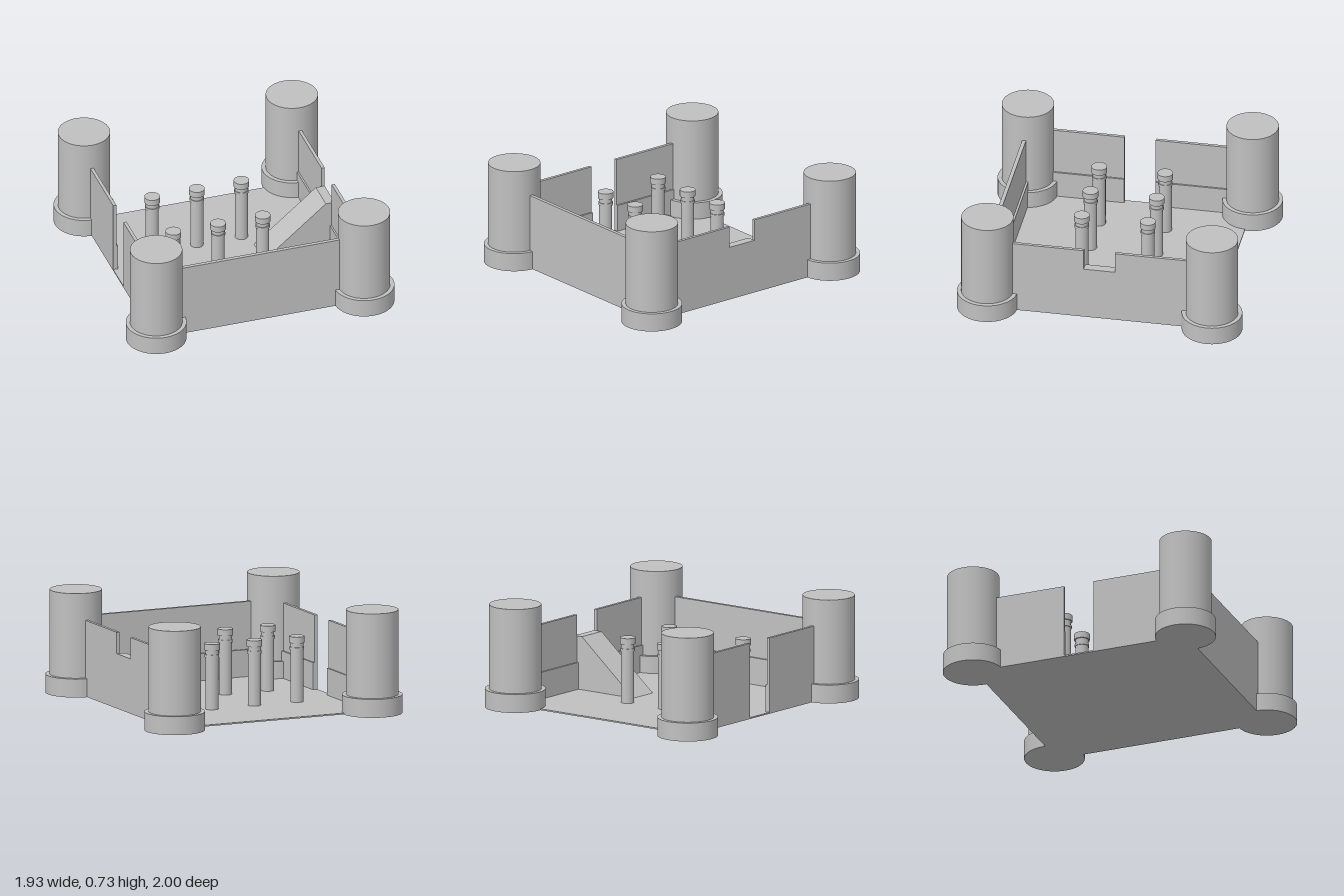
import * as THREE from 'three';

export function createModel() {
  const model = new THREE.Group();
  model.name = 'fortress';
  const stone = new THREE.MeshStandardMaterial({ color: 0xc0c0c0 });
  stone.name = 'grey stone';

  function add(name, geometry, x = 0, y = 0, z = 0, parent = model) {
    const mesh = new THREE.Mesh(geometry, stone);
    mesh.name = name;
    mesh.position.set(x, y, z);
    parent.add(mesh);
    return mesh;
  }
  // Box given by its limits on each axis
  function block(name, x0, x1, y0, y1, z0, z1, parent) {
    const geometry = new THREE.BoxGeometry(x1 - x0, y1 - y0, z1 - z0);
    return add(name, geometry, (x0 + x1) / 2, (y0 + y1) / 2, (z0 + z1) / 2, parent);
  }
  function drum(name, radius, y0, y1, parent) {
    return add(name, new THREE.CylinderGeometry(radius, radius, y1 - y0, 64), 0, (y0 + y1) / 2, 0, parent);
  }

  // Courtyard floor
  block('floor', -0.77, 0.77, 0, 0.01, -0.775, 0.79);

  // Corner towers with wider footings
  for (const x of [-0.757, 0.757]) {
    for (const z of [-0.79, 0.79]) {
      const tower = new THREE.Group();
      tower.name = 'tower';
      tower.position.set(x, 0, z);
      drum('towerFooting', 0.21, 0, 0.13, tower);
      drum('towerShaft', 0.181, 0.13, 0.725, tower);
      model.add(tower);
    }
  }

  // Front wall with a low inner ledge
  const top = 0.535, ledge = 0.2, gap = 0.11;
  block('frontWall', -0.65, 0.65, 0, top, 0.77, 0.797);
  block('frontLedge', -0.65, 0.65, 0.01, ledge, 0.755, 0.77);

  // Side walls, each in two halves with an opening between them
  for (const side of [-1, 1]) {
    for (const end of [-1, 1]) {
      const span = [end * gap, end * 0.66].sort((a, b) => a - b);
      const outer = [side * 0.747, side * 0.77].sort((a, b) => a - b);
      const inner = [side * 0.735, side * 0.747].sort((a, b) => a - b);
      block('sideWall', ...outer, 0, top, ...span);
      block('sideLedge', ...inner, 0.01, ledge, ...span);
    }
  }

  // Ramp rising to a landing in the left opening
  const profile = new THREE.Shape([[0.255, 0], [0.77, 0], [0.77, 0.385], [0.705, 0.385], [0.255, 0.01]]
    .map(([x, y]) => new THREE.Vector2(x, y)));
  add('ramp', new THREE.ExtrudeGeometry(profile, { depth: 2 * gap, bevelEnabled: false }), 0, 0, -gap);

  // Two rows of columns with collars and capitals
  for (const x of [-0.445, -0.12, 0.205]) {
    for (const z of [-0.235, 0.23]) {
      const column = new THREE.Group();
      column.name = 'column';
      column.position.set(x, 0, z);
      drum('columnShaft', 0.045, 0.01, 0.425, column);
      drum('columnCollar', 0.05, 0.375, 0.395, column);
      drum('columnCapital', 0.054, 0.425, 0.47, column);
      model.add(column);
    }
  }
  return model;
}
